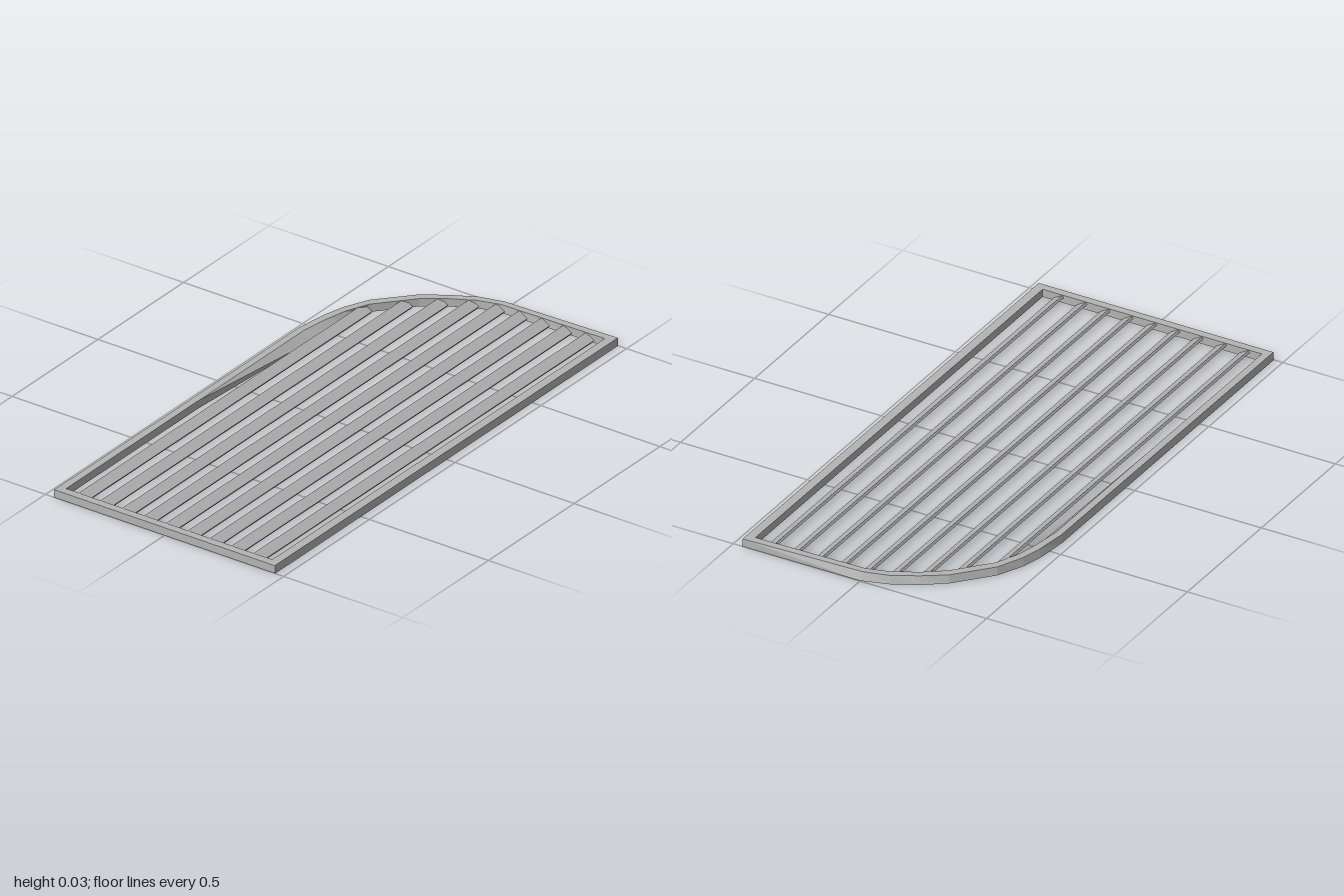
import * as THREE from 'three';

const HEIGHT = 0.03;

// Frame stations as [x, z] pairs: outer bottom, outer top, inner top, inner bottom
const stations = [
  [-0.465, 1, -0.463, 1, -0.435, 0.97, -0.435, 0.97],
  [-0.465, 0.2, -0.462, 0.2, -0.435, 0.2, -0.435, 0.2],
  [-0.465, -0.43, -0.461, -0.43, -0.436, -0.42, -0.402, -0.42],
  [-0.452, -0.55, -0.445, -0.55, -0.42, -0.53, -0.393, -0.53],
  [-0.432, -0.63, -0.425, -0.63, -0.402, -0.61, -0.387, -0.61],
  [-0.385, -0.73, -0.382, -0.725, -0.364, -0.7, -0.372, -0.69],
  [-0.27, -0.86, -0.267, -0.855, -0.25, -0.83, -0.25, -0.83],
  [-0.19, -0.92, -0.185, -0.91, -0.175, -0.885, -0.175, -0.885],
  [-0.1, -0.967, -0.095, -0.96, -0.085, -0.935, -0.085, -0.935],
  [0, -0.998, 0, -0.985, 0, -0.96, 0, -0.957],
  [0.465, -1, 0.463, -1, 0.43, -0.97, 0.43, -0.97],
  [0.465, 1, 0.463, 1, 0.43, 0.97, 0.43, 0.97],
];

// Sweeps the four-cornered section round the closed outline
function frameGeometry() {
  const levels = [0, HEIGHT, HEIGHT, 0];
  const point = (s, k) => [s[2 * k], levels[k], s[2 * k + 1]];
  const positions = [];
  stations.forEach((a, i) => {
    const b = stations[(i + 1) % stations.length];
    for (let k = 0; k < 4; k++) {
      const n = (k + 1) % 4;
      const [p, q, r, s] = [point(a, k), point(a, n), point(b, n), point(b, k)];
      positions.push(...p, ...q, ...r, ...p, ...r, ...s);
    }
  });
  const geometry = new THREE.BufferGeometry();
  geometry.setAttribute('position', new THREE.Float32BufferAttribute(positions, 3));
  geometry.computeVertexNormals();
  return geometry;
}

// Depth of the rear rail's inner edge at a given x
function rearEdge(x) {
  for (let i = 4; i < 10; i++) {
    const a = stations[i], b = stations[i + 1];
    if (x >= a[4] && x <= b[4]) {
      return THREE.MathUtils.mapLinear(x, a[4], b[4], a[5], b[5]);
    }
  }
  return -0.97;
}

export function createModel() {
  const metal = new THREE.MeshStandardMaterial({ color: 0xb4b4b4 });
  metal.name = 'grey metal';
  metal.flatShading = true;
  const model = new THREE.Group();
  model.name = 'ventGrille';

  // Outer frame with one rounded rear corner
  const frame = new THREE.Mesh(frameGeometry(), metal);
  frame.name = 'frame';
  model.add(frame);

  // Tilted louvre slats running front to back
  const slats = new THREE.Group();
  slats.name = 'slats';
  for (let i = 0; i < 9; i++) {
    const x = -0.368 + i * 0.0918;
    const front = 0.975;
    const rear = rearEdge(x) - 0.004;
    const slat = new THREE.Mesh(new THREE.BoxGeometry(0.04, 0.01, front - rear), metal);
    slat.position.set(x, HEIGHT / 2, (front + rear) / 2);
    slat.rotation.z = -Math.PI / 6;
    slat.name = 'slat' + (i + 1);
    slats.add(slat);
  }
  model.add(slats);
  return model;
}
